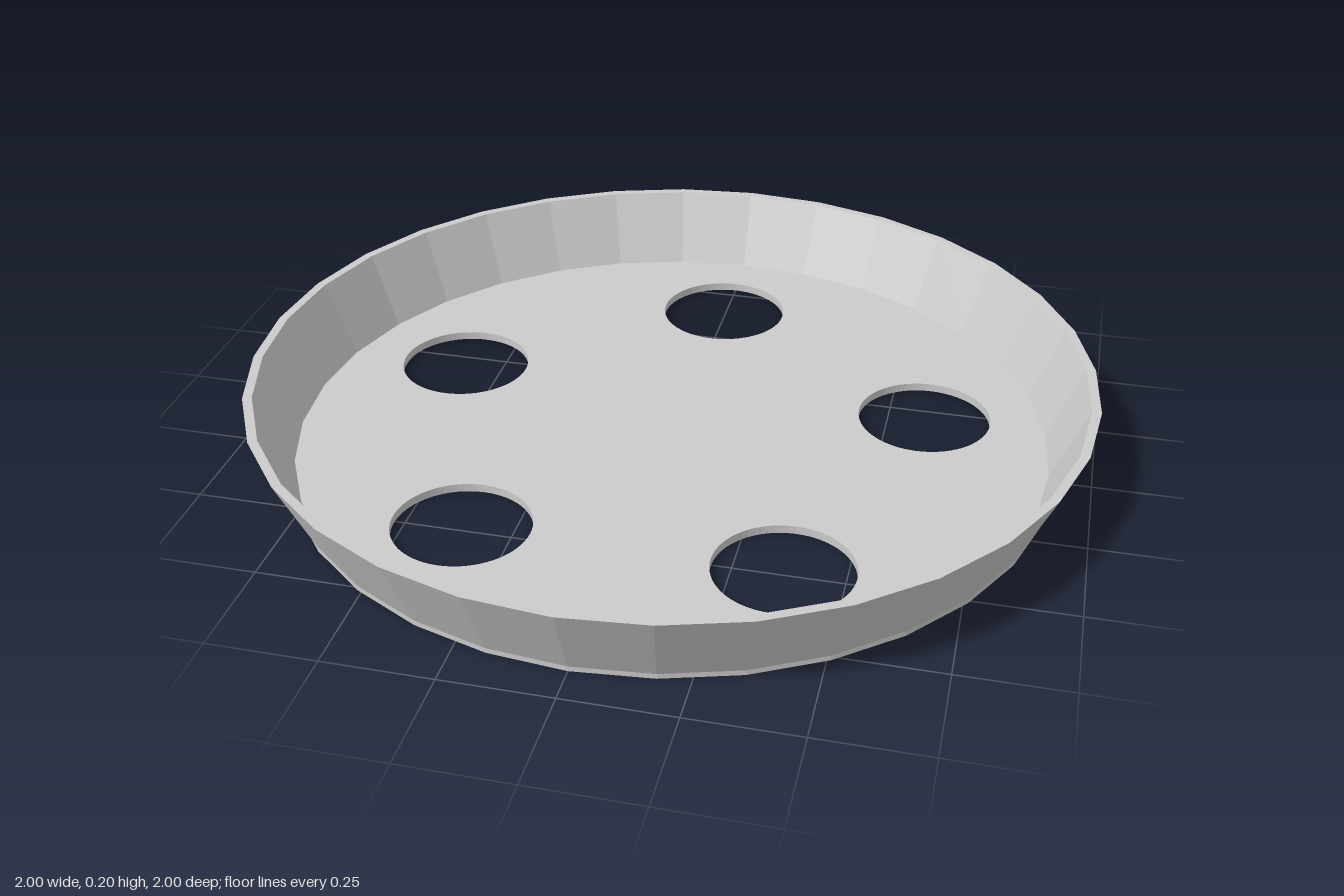
import * as THREE from 'three';

const SIDES = 32;
const FLOOR_RADIUS = 0.915;
const FLOOR_THICKNESS = 0.02;
const HOLE_COUNT = 5;
const HOLE_RADIUS = 0.16;
const HOLE_RING = 0.62;

// Faceted disc with a ring of round drainage holes
function floorGeometry() {
  const outline = [];
  for (let i = 0; i < SIDES; i++) {
    const a = (i / SIDES) * Math.PI * 2;
    outline.push(new THREE.Vector2(Math.cos(a), Math.sin(a)).multiplyScalar(FLOOR_RADIUS));
  }
  const shape = new THREE.Shape(outline);
  for (let i = 0; i < HOLE_COUNT; i++) {
    const a = Math.PI / 2 + (i / HOLE_COUNT) * Math.PI * 2;
    const hole = new THREE.Path();
    hole.absarc(Math.cos(a) * HOLE_RING, Math.sin(a) * HOLE_RING, HOLE_RADIUS, 0, Math.PI * 2, true);
    shape.holes.push(hole);
  }
  const geometry = new THREE.ExtrudeGeometry(shape, {
    depth: FLOOR_THICKNESS, bevelEnabled: false, curveSegments: 32,
  });
  return geometry.rotateX(-Math.PI / 2);
}

// Flared wall: up the outside, across the rim, down the inside
function wallGeometry() {
  const profile = [
    [FLOOR_RADIUS, 0.012], [1, 0.2], [0.978, 0.2], [0.9, FLOOR_THICKNESS],
  ].map(([r, y]) => new THREE.Vector2(r, y));
  return new THREE.LatheGeometry(profile, SIDES);
}

export function createModel() {
  const group = new THREE.Group();
  group.name = 'perforatedTray';
  const material = new THREE.MeshStandardMaterial({
    color: 0xcccccc, flatShading: true, side: THREE.DoubleSide,
  });

  const floor = new THREE.Mesh(floorGeometry(), material);
  floor.name = 'perforatedFloor';
  const wall = new THREE.Mesh(wallGeometry(), material);
  wall.name = 'flaredWall';

  group.add(floor, wall);
  return group;
}
